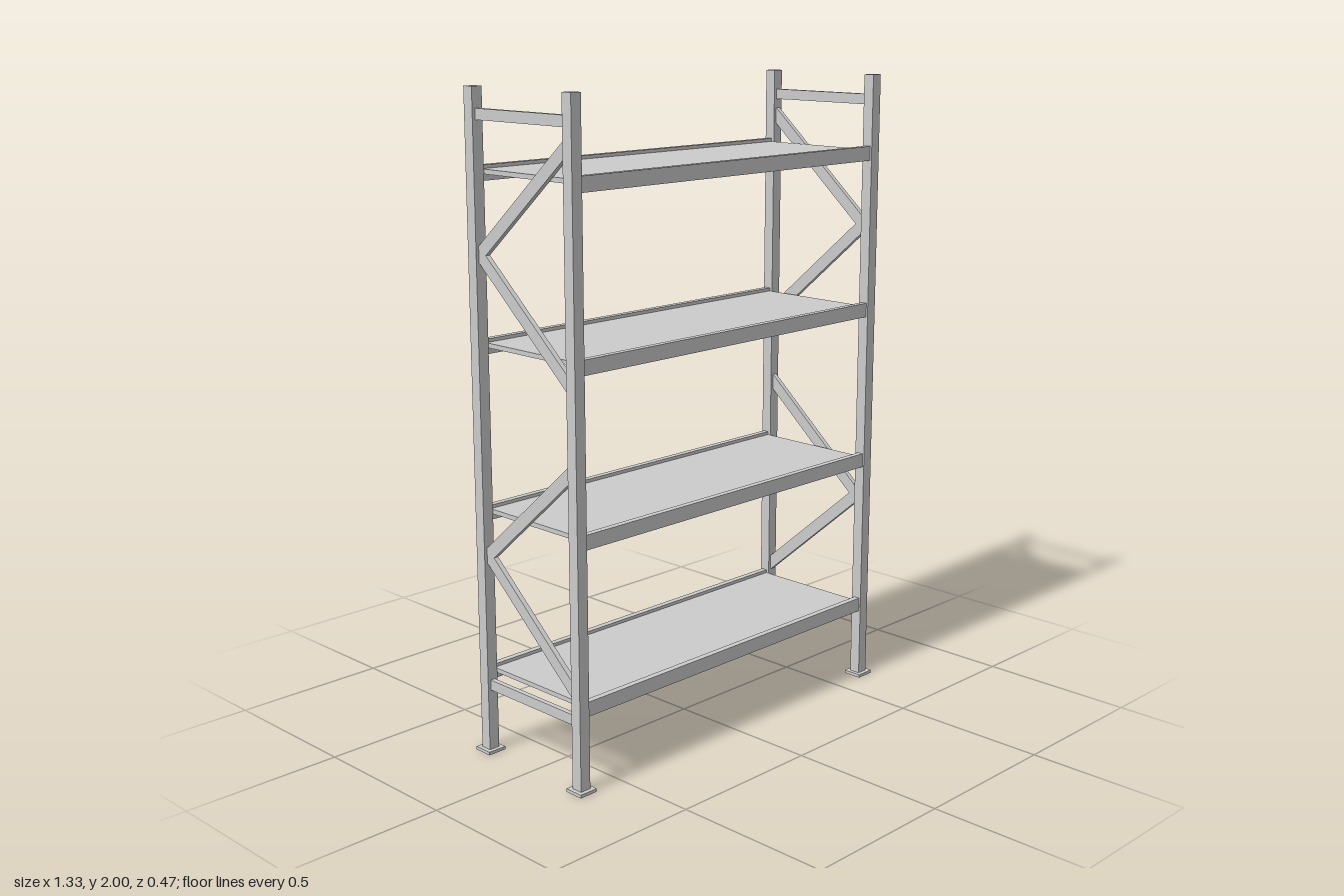
import * as THREE from 'three';

const PX = 0.632, PZ = 0.206; // post centres
const POST = 0.036;
const material = new THREE.MeshStandardMaterial({ color: 0xcccccc });

function box(parent, name, size, pos) {
  const mesh = new THREE.Mesh(new THREE.BoxGeometry(...size), material);
  mesh.name = name;
  mesh.position.set(...pos);
  parent.add(mesh);
  return mesh;
}

// One end frame, standing at +x
function endFrame(name) {
  const frame = new THREE.Group();
  frame.name = name;

  // Posts with base plates
  for (const z of [PZ, -PZ]) {
    box(frame, 'post', [POST, 2, POST], [PX, 1, z]);
    box(frame, 'basePlate', [0.062, 0.01, 0.062], [PX, 0.005, z]);
  }

  // Top and bottom cross bars
  const gap = 2 * PZ - POST;
  for (const y of [0.218, 1.923]) box(frame, 'crossBar', [0.016, 0.032, gap], [PX, y, 0]);

  // Diagonal braces: two zigzag pairs, meeting at the front post
  const halfZ = 0.2, halfY = 0.174;
  const length = 2 * Math.hypot(halfZ, halfY);
  const angle = Math.atan2(halfY, halfZ);
  for (const [y, rise] of [[1.69, 1], [1.365, -1], [0.79, 1], [0.467, -1]]) {
    const brace = box(frame, 'diagonalBrace', [0.016, 0.038, length], [PX, y, 0]);
    brace.rotation.x = rise * angle;
  }
  return frame;
}

// Shelf: a panel held between two deeper beams
function shelf(y) {
  const group = new THREE.Group();
  group.name = 'shelf';
  const width = 2 * PX - POST;
  for (const z of [0.208, -0.208]) box(group, 'shelfBeam', [width, 0.045, 0.02], [0, 0, z]);
  box(group, 'shelfPanel', [width, 0.014, 0.396], [0, 0.005, 0]);
  group.position.y = y;
  return group;
}

export function createModel() {
  const model = new THREE.Group();
  model.name = 'shelvingRack';

  // The right frame is the left one turned half round
  const right = endFrame('rightFrame');
  right.rotation.y = Math.PI;
  model.add(endFrame('leftFrame'), right);

  for (let i = 0; i < 4; i++) model.add(shelf(0.253 + i * 0.501));
  return model;
}
